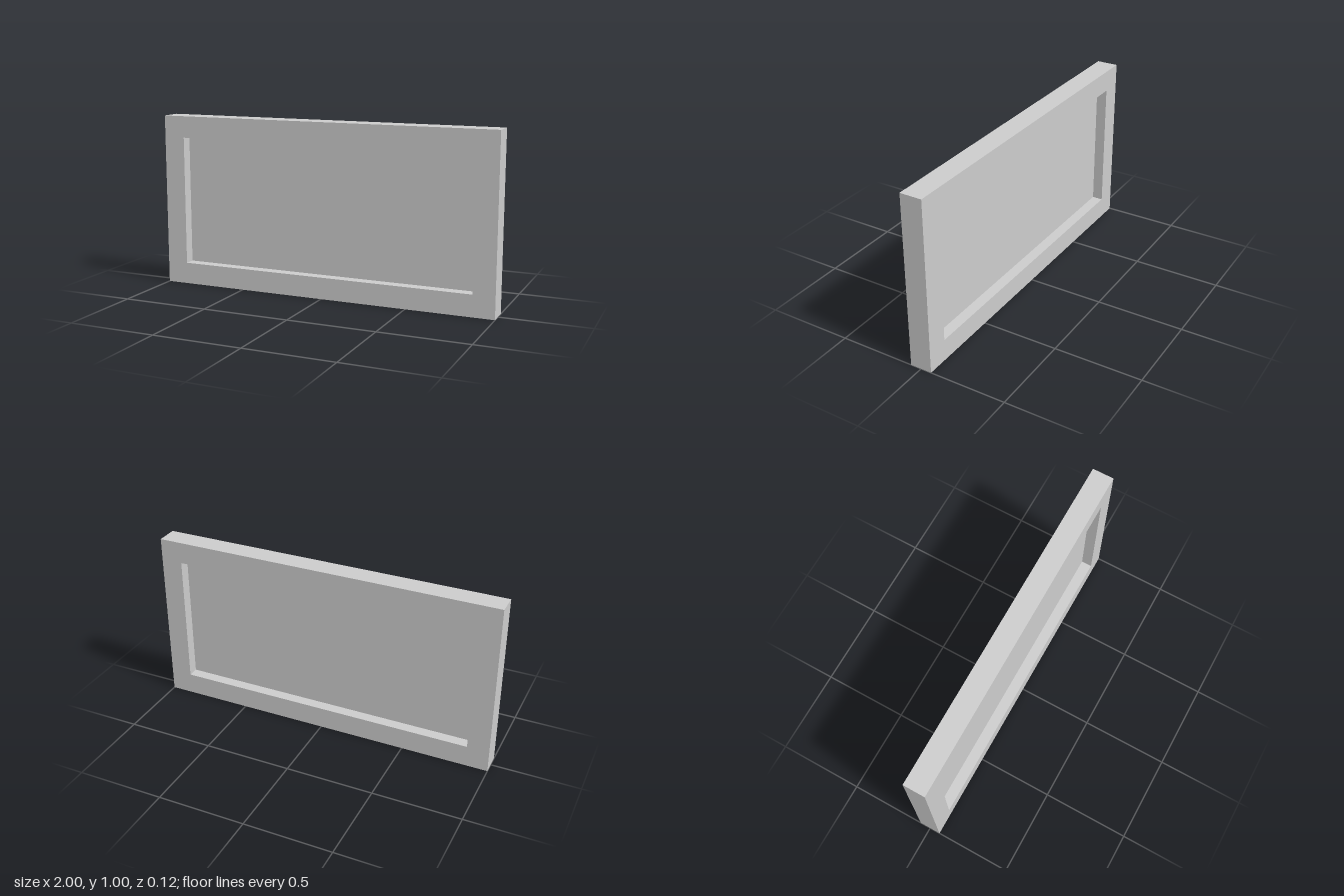
import * as THREE from 'three';

const WIDTH = 2, HEIGHT = 1, DEPTH = 0.125, BORDER = 0.125;

// Rectangle corners inset from the outer outline
function rectangle(inset) {
  const x = WIDTH / 2 - inset, low = inset, high = HEIGHT - inset;
  return [[-x, low], [x, low], [x, high], [-x, high]].map(([px, py]) => new THREE.Vector2(px, py));
}

export function createModel() {
  const model = new THREE.Group();
  model.name = 'framedPanel';
  const material = new THREE.MeshStandardMaterial({ color: 0xcccccc });

  // Square-edged frame with a rectangular opening
  const outline = new THREE.Shape(rectangle(0));
  outline.holes.push(new THREE.Path(rectangle(BORDER).reverse()));
  const frameGeometry = new THREE.ExtrudeGeometry(outline, { depth: DEPTH, bevelEnabled: false });
  frameGeometry.translate(0, 0, -DEPTH / 2);
  const frame = new THREE.Mesh(frameGeometry, material);
  frame.name = 'frame';
  model.add(frame);

  // Thin pane halfway through the frame, seen from both sides
  const paneMaterial = material.clone();
  paneMaterial.side = THREE.DoubleSide;
  const pane = new THREE.Mesh(
    new THREE.PlaneGeometry(WIDTH - 2 * BORDER, HEIGHT - 2 * BORDER),
    paneMaterial
  );
  pane.name = 'pane';
  pane.position.y = HEIGHT / 2;
  model.add(pane);

  return model;
}
